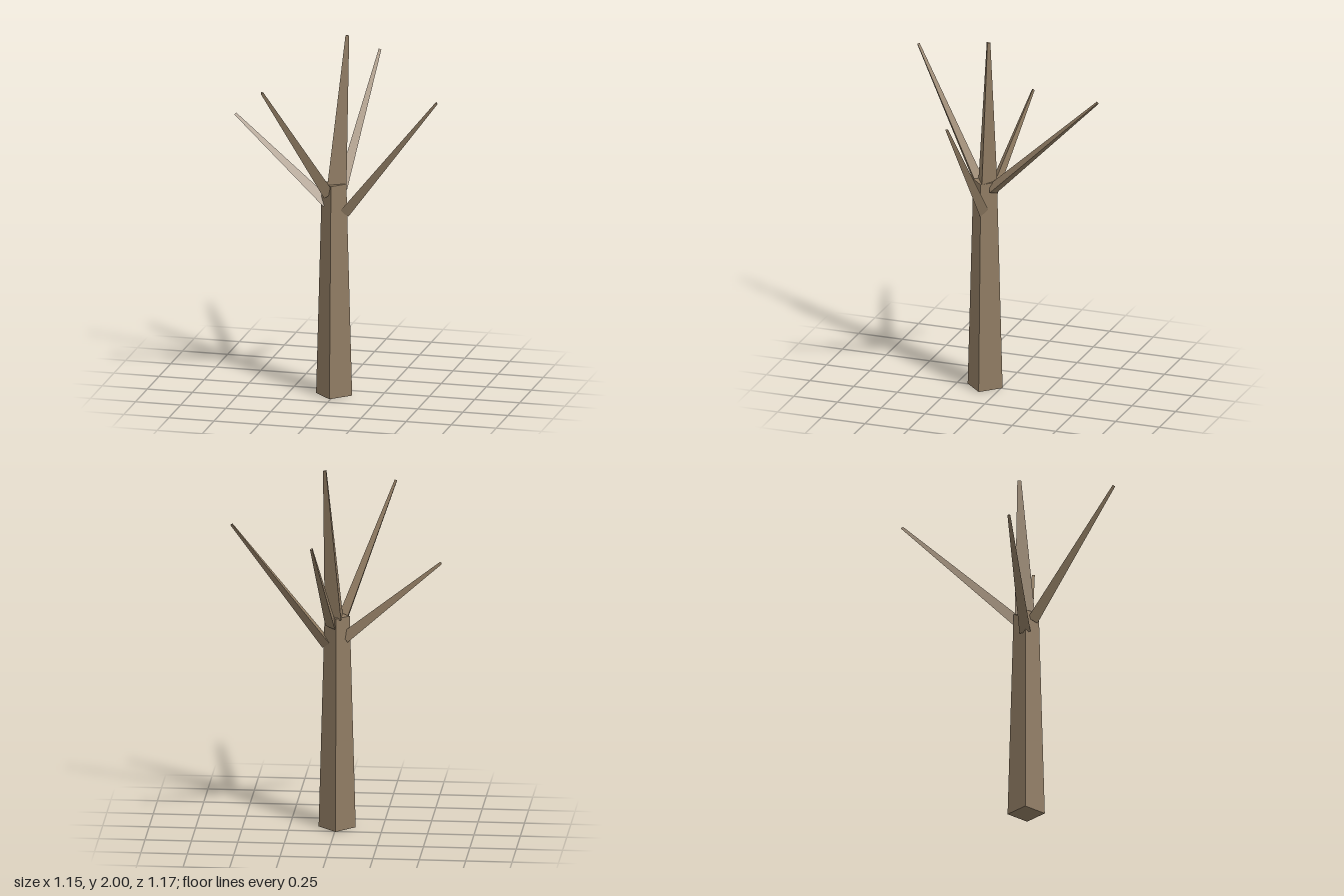
import * as THREE from 'three';

export function createModel() {
  const tree = new THREE.Group();
  tree.name = 'bareTree';

  const bark = new THREE.MeshStandardMaterial({ color: 0x8f7b62, flatShading: true });
  bark.name = 'bark';

  // Tapered limb between two points; one flat side is turned towards "facing"
  function limb(name, from, to, baseRadius, tipRadius, sides, facing) {
    const a = new THREE.Vector3(...from);
    const b = new THREE.Vector3(...to);
    const along = b.clone().sub(a);
    const length = along.length();
    along.normalize();
    const back = new THREE.Vector3(...facing).projectOnPlane(along).normalize().negate();
    const side = new THREE.Vector3().crossVectors(along, back);

    const geometry = new THREE.CylinderGeometry(tipRadius, baseRadius, length, sides);
    geometry.applyMatrix4(new THREE.Matrix4().makeBasis(side, along, back));
    const mesh = new THREE.Mesh(geometry, bark);
    mesh.name = name;
    mesh.position.copy(a).add(b).multiplyScalar(0.5);
    tree.add(mesh);
  }

  // Four-sided trunk with its corners on the axes
  limb('trunk', [-0.005, 0, 0.092], [-0.005, 1.18, 0.092], 0.1, 0.068, 4, [0, 0, -1]);

  // Three-sided leader and branches
  limb('leader', [0, 1.17, 0.086], [0.056, 2, 0.052], 0.062, 0.012, 3, [-1, 0, 0]);
  limb('leftBranch', [0.047, 1.021, 0.09], [0.565, 1.674, 0.102], 0.035, 0.009, 3, [0, 1, 0]);
  limb('rightBranch', [-0.05, 1.06, 0.085], [-0.571, 1.508, 0.027], 0.035, 0.009, 3, [0.43, 0.51, 0.74]);
  limb('frontBranch', [-0.03, 1.13, 0.13], [-0.28, 1.803, 0.578], 0.035, 0.009, 3, [0, 1, 0]);
  limb('backBranch', [0.02, 1.14, 0.045], [0.073, 1.744, -0.58], 0.035, 0.009, 3, [0.57, 0.58, 0.58]);

  return tree;
}
